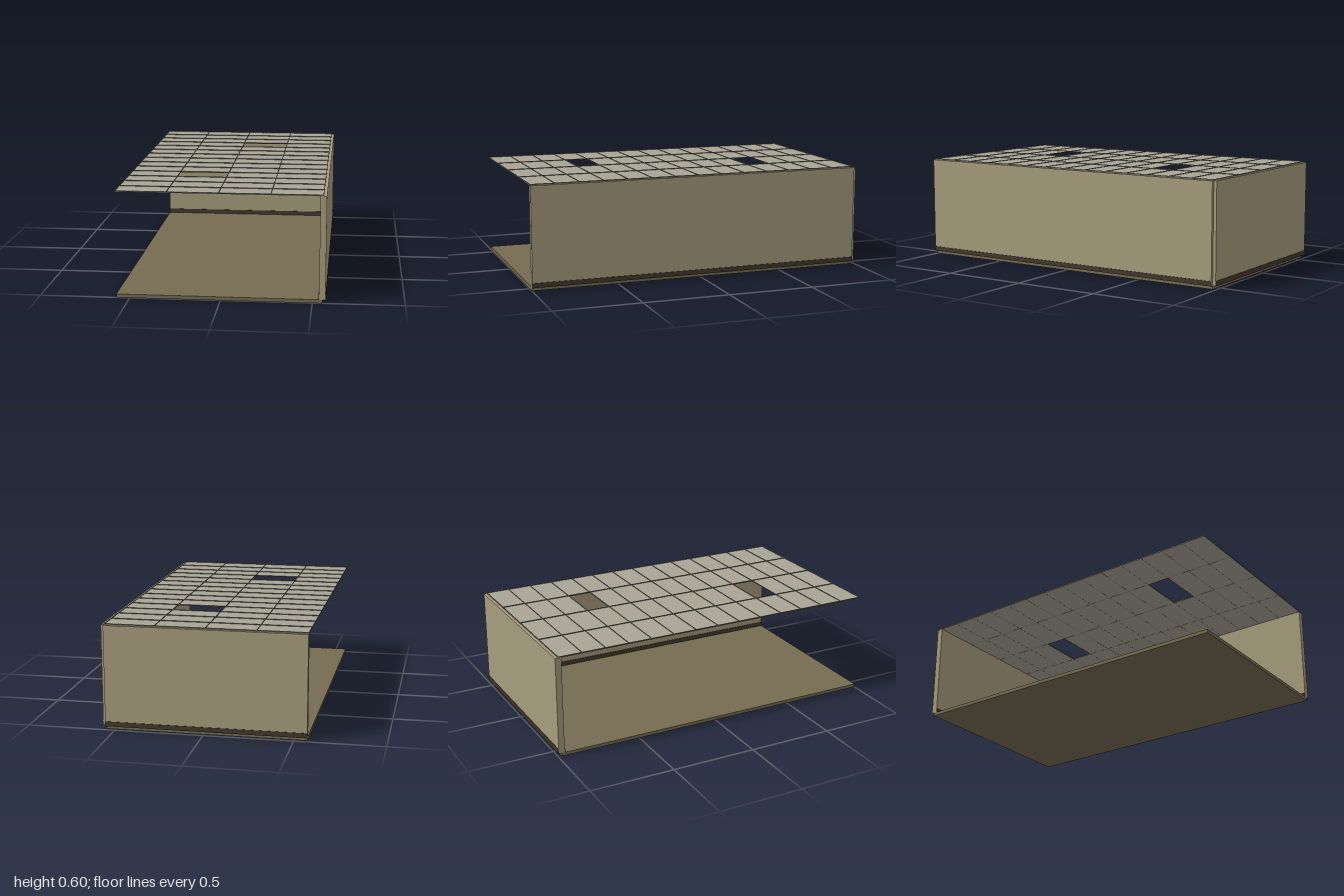
import * as THREE from 'three';

const material = (name, color) => {
  const m = new THREE.MeshStandardMaterial({ color });
  m.name = name;
  return m;
};

export function createModel() {
  const wallTan = material('wall tan', 0xa69d7c);
  const floorBrown = material('floor brown', 0x766c52);
  const skirtingBrown = material('skirting dark brown', 0x41392c);
  const tileGrey = material('ceiling tile grey', 0xa9a597);
  const gridGrey = material('ceiling grid grey', 0x77746a);

  const model = new THREE.Group();
  model.name = 'room';

  // Box given by its limits on each axis
  const box = (name, mat, [x0, x1], [y0, y1], [z0, z1], parent = model) => {
    const mesh = new THREE.Mesh(new THREE.BoxGeometry(x1 - x0, y1 - y0, z1 - z0), mat);
    mesh.position.set((x0 + x1) / 2, (y0 + y1) / 2, (z0 + z1) / 2);
    mesh.name = name;
    parent.add(mesh);
    return mesh;
  };

  const left = -0.574, right = 0.554, back = -0.979, front = 1;
  const wallY = [0.02, 0.593], skirtY = [0.02, 0.047], skirt = 0.003;

  box('floor', floorBrown, [left, right], [0, 0.02], [back, front]);

  // Two walls centred on the floor edges
  box('sideWall', wallTan, [0.536, 0.571], wallY, [back, front]);
  box('backWall', wallTan, [left, right], wallY, [-0.997, -0.961]);

  // Skirting on both faces of each wall
  box('sideSkirtingInner', skirtingBrown, [0.536 - skirt, 0.536], skirtY, [-0.961, front]);
  box('sideSkirtingOuter', skirtingBrown, [0.571, 0.571 + skirt], skirtY, [back, front]);
  box('backSkirtingInner', skirtingBrown, [left, 0.536], skirtY, [-0.961, -0.961 + skirt]);
  box('backSkirtingOuter', skirtingBrown, [left, right], skirtY, [-0.997 - skirt, -0.997]);

  // Suspended ceiling: 4 by 14 tiles, two left open
  const ceiling = new THREE.Group();
  ceiling.name = 'ceiling';
  model.add(ceiling);
  const columns = 4, rows = 14;
  const dx = (right - left) / columns, dz = (front - back) / rows;
  const open = new Set(['1,3', '2,10']);
  for (let c = 0; c < columns; c++) {
    for (let r = 0; r < rows; r++) {
      if (open.has(`${c},${r}`)) continue;
      const x = left + c * dx, z = front - r * dz;
      box('ceilingTile', tileGrey, [x, x + dx], [0.5935, 0.596], [z - dz, z], ceiling);
    }
  }

  // Thin grid bars standing just above and below the tiles
  const half = 0.0015, barY = [0.593, 0.6];
  for (let c = 0; c <= columns; c++) {
    const x = THREE.MathUtils.clamp(left + c * dx, left + half, right - half);
    box('mainGridBar', gridGrey, [x - half, x + half], barY, [back, front], ceiling);
  }
  for (let r = 0; r <= rows; r++) {
    const z = THREE.MathUtils.clamp(front - r * dz, back + half, front - half);
    box('crossGridBar', gridGrey, [left, right], [0.5932, 0.5998], [z - half, z + half], ceiling);
  }

  return model;
}
